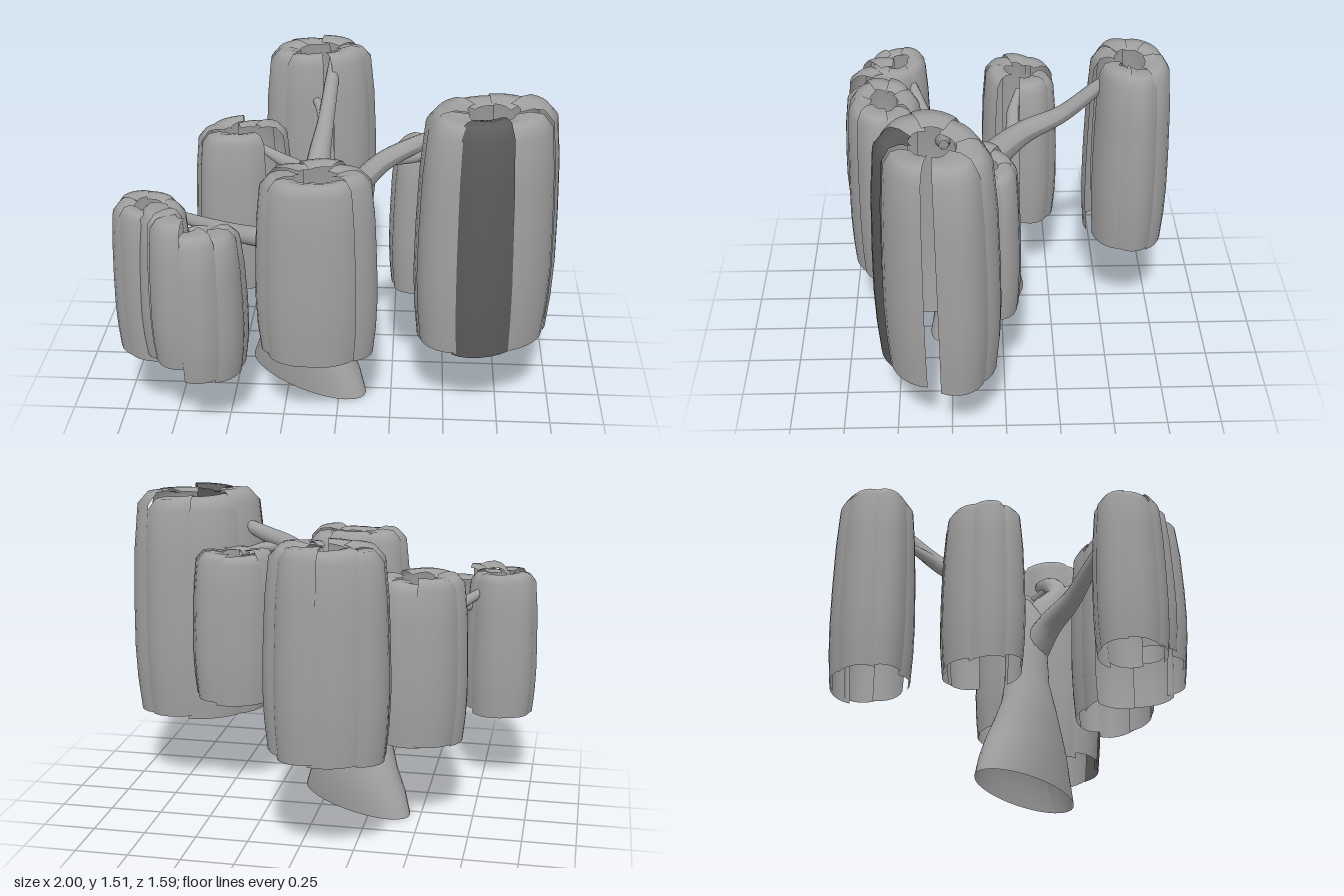
import * as THREE from 'three';

const material = new THREE.MeshStandardMaterial({ color: 0xa0a0a0, side: THREE.DoubleSide });
const darkMaterial = new THREE.MeshStandardMaterial({ color: 0x5c5c5c, side: THREE.DoubleSide });

function seeded(seed) {
  let s = seed;
  return () => {
    s = (s * 16807) % 2147483647;
    return s / 2147483647;
  };
}

// Grid surface from a function point(u, v), with u and v running 0..1
function sheet(nu, nv, point) {
  const pos = [], index = [];
  for (let j = 0; j <= nv; j++) {
    for (let i = 0; i <= nu; i++) {
      pos.push(...point(i / nu, j / nv));
      if (i < nu && j < nv) {
        const a = j * (nu + 1) + i, b = a + nu + 1;
        index.push(a, b, a + 1, a + 1, b, b + 1);
      }
    }
  }
  const g = new THREE.BufferGeometry();
  g.setAttribute('position', new THREE.Float32BufferAttribute(pos, 3));
  g.setIndex(index);
  g.computeVertexNormals();
  return g;
}

function named(geometry, name, mat = material) {
  const m = new THREE.Mesh(geometry, mat);
  m.name = name;
  return m;
}

// Tapering branch through points [x, y, z, radius]
function branch(points, name) {
  const curve = new THREE.CatmullRomCurve3(points.map(p => new THREE.Vector3(p[0], p[1], p[2])));
  const sides = 12, steps = points.length * 5;
  const g = new THREE.TubeGeometry(curve, steps, 1, sides);
  const p = g.attributes.position, c = new THREE.Vector3(), v = new THREE.Vector3();
  for (let i = 0; i <= steps; i++) {
    curve.getPointAt(i / steps, c);
    const t = curve.getUtoTmapping(i / steps) * (points.length - 1);
    const k = Math.min(Math.floor(t), points.length - 2);
    const r = THREE.MathUtils.lerp(points[k][3], points[k + 1][3], t - k);
    for (let j = 0; j <= sides; j++) {
      const n = i * (sides + 1) + j;
      v.fromBufferAttribute(p, n).sub(c).multiplyScalar(r).add(c);
      p.setXYZ(n, v.x, v.y, v.z);
    }
  }
  g.computeVertexNormals();
  return named(g, name);
}

// Flared trunk, lofted from rings [y, x, z, radius x, radius z], open underneath
function trunk() {
  const rings = [
    [0, -0.16, 0.12, 0.29, 0.24], [0.1, -0.16, 0.12, 0.26, 0.22], [0.2, -0.165, 0.125, 0.21, 0.195],
    [0.3, -0.185, 0.13, 0.16, 0.16], [0.4, -0.195, 0.135, 0.128, 0.128], [0.52, -0.18, 0.13, 0.108, 0.105],
    [0.65, -0.16, 0.13, 0.1, 0.1], [0.78, -0.14, 0.14, 0.095, 0.1], [0.88, -0.12, 0.13, 0.08, 0.09],
    [0.97, -0.115, 0.1, 0.05, 0.06], [1, -0.115, 0.1, 0, 0],
  ];
  return named(sheet(30, rings.length - 1, (u, v) => {
    const [y, x, z, rx, rz] = rings[Math.round(v * (rings.length - 1))];
    const a = -u * Math.PI * 2;
    // the foot stretches along the diagonal
    const shear = 0.75 * Math.max(0, 1 - y / 0.7);
    return [x + rx * Math.cos(a), y, z + rz * Math.sin(a + shear)];
  }), 'trunk');
}

// Section of a hanging curtain, top to bottom: [height fraction, radius fraction]
const drape = [[0.985, 0.35], [1, 0.56], [0.995, 0.74], [0.945, 0.89], [0.75, 0.955], [0.5, 0.99],
  [0.3, 1], [0.15, 0.98], [0, 0.93]];

// Ring (or arc) of overlapping curtain panels around an ellipse
function curtain(o) {
  const group = new THREE.Group();
  group.name = o.name;
  const rand = seeded(o.seed);
  const from = o.from ?? 0, to = o.to ?? 360, n = o.count;
  const rot = THREE.MathUtils.degToRad(o.turn ?? 0);
  for (let k = 0; k < n; k++) {
    const span = (to - from) / n;
    const mid = from + span * (k + 0.5);
    const half = span * (0.53 + 0.1 * rand());
    const size = 0.93 + 0.05 * rand();
    const lift = -0.035 * rand(), drop = 0.04 * rand();
    const skew = (rand() - 0.5) * 0.06, twist = (rand() - 0.5) * 9;
    const fray = 0.16 * (rand() - 0.5);
    const drift = (o.tilt ?? 0) * Math.cos(THREE.MathUtils.degToRad(mid));
    const g = sheet(6, drape.length - 1, (u, v) => {
      const [h, r] = drape[Math.round(v * (drape.length - 1))];
      const s = u * 2 - 1;
      const a = THREE.MathUtils.degToRad(mid - s * half + twist * (h - 0.5));
      // each panel bulges outward at its middle and slants a little; its tip is cut at a slant
      const tip = r < 0.7 ? (0.78 - r) / 0.43 : 0;
      const q = (r + tip * fray * s) * size * (1.05 - 0.07 * s * s + skew * s);
      const ex = o.rx * q * Math.cos(a), ez = o.rz * q * Math.sin(a);
      const low = o.bottom + drop + drift, high = o.top + lift + drift;
      return [
        o.x + ex * Math.cos(rot) - ez * Math.sin(rot),
        low + (high - low) * h + skew * s * 0.3,
        o.z + ex * Math.sin(rot) + ez * Math.cos(rot),
      ];
    });
    group.add(named(g, 'foliagePanel', o.dark === k ? darkMaterial : material));
  }
  return group;
}

export function createModel() {
  const model = new THREE.Group();
  model.name = 'weepingTree';
  model.add(trunk());

  // Branches
  model.add(
    branch([[-0.14, 0.72, 0.13, 0.085], [-0.13, 0.92, 0.04, 0.075], [-0.12, 1.06, -0.1, 0.055],
      [-0.1, 1.17, -0.28, 0.04], [-0.08, 1.32, -0.44, 0.034], [-0.07, 1.43, -0.56, 0.022]], 'backBranch'),
    branch([[-0.1, 1.16, -0.27, 0.03], [-0.13, 1.21, -0.37, 0.025], [-0.17, 1.24, -0.45, 0.015]], 'backTwig'),
    branch([[-0.13, 0.72, 0.15, 0.09], [-0.05, 0.94, 0.22, 0.075], [0.08, 1.11, 0.31, 0.055],
      [0.2, 1.23, 0.3, 0.045], [0.34, 1.3, 0.27, 0.038], [0.56, 1.4, 0.26, 0.02]], 'leftBranch'),
    branch([[0.08, 1.1, 0.31, 0.05], [0.1, 1.15, 0.38, 0.035], [0.05, 1.2, 0.46, 0.015]], 'frontTwig'),
    branch([[0.22, 1.24, 0.3, 0.03], [0.34, 1.23, 0.24, 0.028], [0.43, 1.22, 0.15, 0.015]], 'leftTwig'),
    branch([[-0.15, 0.66, 0.14, 0.08], [-0.24, 0.79, 0.23, 0.06], [-0.4, 0.85, 0.32, 0.045],
      [-0.56, 0.92, 0.38, 0.035], [-0.74, 1.02, 0.45, 0.02]], 'rightBranch'),
    branch([[-0.56, 0.92, 0.38, 0.03], [-0.66, 0.93, 0.47, 0.024], [-0.71, 0.94, 0.6, 0.012]], 'rightTwig'),
    branch([[-0.13, 0.95, 0.03, 0.05], [-0.2, 1.02, -0.05, 0.035], [-0.3, 1.07, -0.06, 0.03],
      [-0.42, 1.13, -0.09, 0.015]], 'rightBackBranch'),
  );

  // Hanging foliage
  const curtains = [
    { name: 'backFoliage', x: -0.15, z: -0.595, rx: 0.28, rz: 0.2, turn: -8, bottom: 0.49, top: 1.455, count: 7, seed: 11, from: 90, to: 430 },
    { name: 'rightBackFoliage', x: -0.48, z: -0.095, rx: 0.24, rz: 0.185, turn: -20, bottom: 0.41, top: 1.23, count: 6, seed: 23, from: 72, to: 382 },
    { name: 'rightOuterFoliage', x: -0.82, z: 0.52, rx: 0.185, rz: 0.16, turn: 20, bottom: 0.37, top: 1.125, count: 6, seed: 37 },
    { name: 'rightFrontFoliage', x: -0.64, z: 0.54, rx: 0.245, rz: 0.255, bottom: 0.34, top: 1.07, tilt: -0.065, count: 5, seed: 41, from: -30, to: 178 },
    { name: 'frontFoliage', x: -0.085, z: 0.55, rx: 0.275, rz: 0.19, turn: -8, bottom: 0.39, top: 1.29, count: 7, seed: 53 },
    { name: 'leftBackFoliage', x: 0.435, z: 0.09, rx: 0.22, rz: 0.155, turn: -20, bottom: 0.5, top: 1.27, count: 6, seed: 67 },
    { name: 'leftFoliage', x: 0.675, z: 0.31, rx: 0.345, rz: 0.26, turn: -27, bottom: 0.375, top: 1.51, count: 7, seed: 71, from: 45, to: 388, dark: 1 },
  ];
  curtains.forEach(o => model.add(curtain(o)));
  return model;
}
